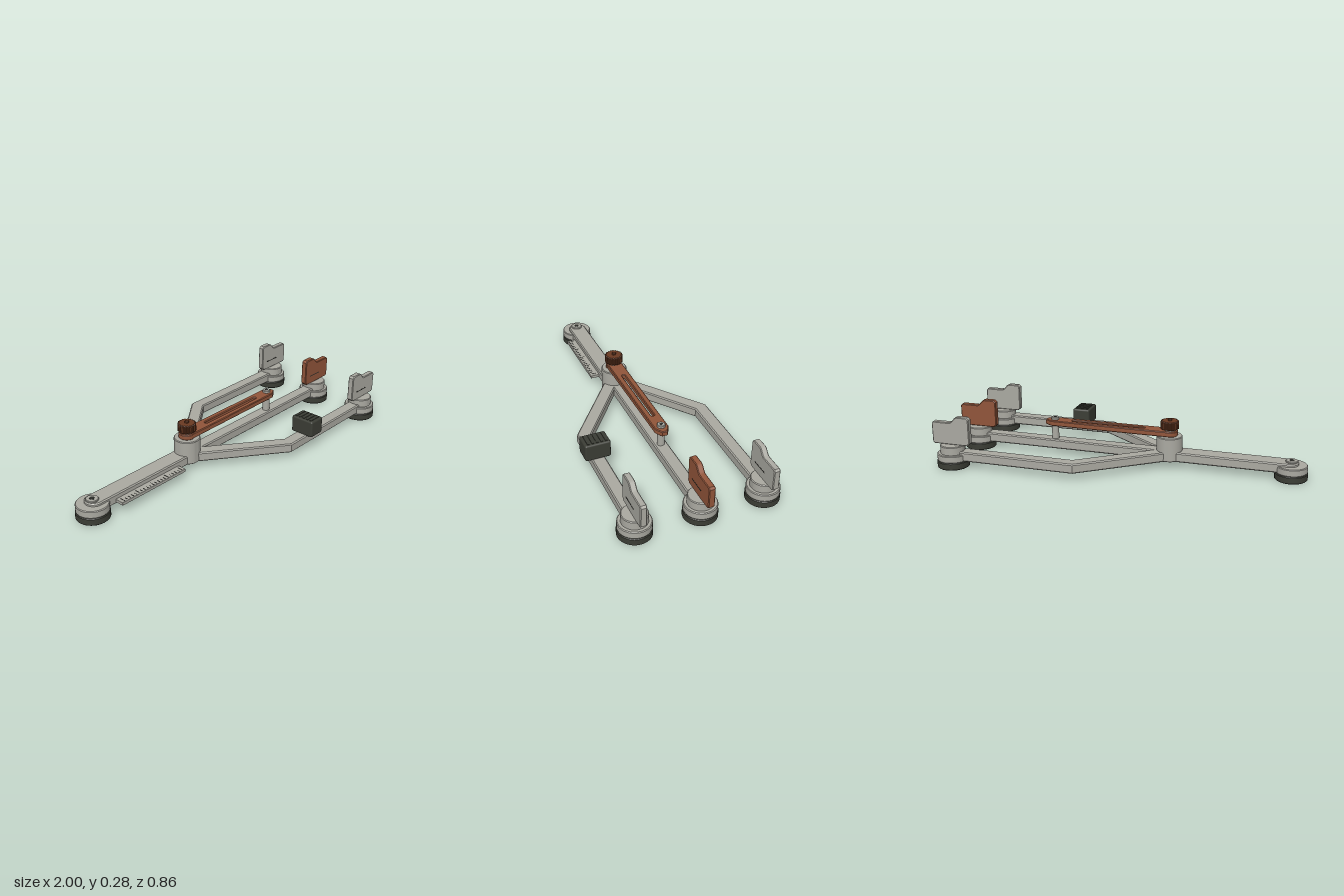
import * as THREE from 'three';
import { toCreasedNormals } from 'three/addons/utils/BufferGeometryUtils.js';
import { RoundedBoxGeometry } from 'three/addons/geometries/RoundedBoxGeometry.js';

const material = (name, color) => new THREE.MeshStandardMaterial({ name, color });

export function createModel() {
  const model = new THREE.Group();
  const grey = material('warm grey metal', 0xaaa9a1);
  const rubber = material('dark rubber', 0x3b3d35);
  const copper = material('copper paint', 0x91553a);
  const brown = material('dark copper', 0x6a3a22);
  const black = material('engraved marks', 0x2b2c28);

  function add(name, geometry, mat, x = 0, y = 0, z = 0, parent = model) {
    const mesh = new THREE.Mesh(geometry, mat);
    mesh.name = name;
    mesh.position.set(x, y, z);
    parent.add(mesh);
    return mesh;
  }

  const toShape = (pts) => new THREE.Shape(pts.map(([x, y]) => new THREE.Vector2(x, y)));

  // Extrusion of fixed total depth with a small bevel kept inside the outline
  function bevelled(shape, depth, bevel) {
    const g = new THREE.ExtrudeGeometry(shape, {
      depth: depth - 2 * bevel, bevelEnabled: true, bevelThickness: bevel,
      bevelSize: bevel, bevelOffset: -bevel, bevelSegments: 1, curveSegments: 16,
    });
    g.translate(0, 0, bevel);
    return toCreasedNormals(g, 0.5);
  }
  // Plan outline (x, -z) raised along y
  const slab = (shape, depth, bevel) => bevelled(shape, depth, bevel).rotateX(-Math.PI / 2);

  // Turned part with a small chamfer, standing on its base
  function turned(r, h, c = 0.004, sides = 48) {
    const pts = [[0, 0], [r - c, 0], [r, c], [r, h - c], [r - c, h], [0, h]];
    const g = new THREE.LatheGeometry(pts.map(([x, y]) => new THREE.Vector2(x, y)), sides);
    return toCreasedNormals(g, 0.5);
  }

  // Rails
  const railY = 0.042, railH = 0.053;
  function straight(x0, x1, w) {
    return toShape([[x0, -w], [x1, -w], [x1, w], [x0, w]]);
  }
  const base = new THREE.Shape();
  base.moveTo(-0.9, -0.05);
  base.lineTo(-0.2, -0.05);
  base.lineTo(-0.2, 0.05);
  base.lineTo(-0.9, 0.05);
  base.absarc(-0.9, 0, 0.05, Math.PI / 2, Math.PI * 1.5, false);
  add('baseRail', slab(base, railH, 0.006), grey, 0, railY, 0);
  add('middleRail', slab(straight(-0.25, 0.9, 0.036), railH, 0.006), grey, 0, railY, 0);

  // Bent side rails, mitred at the bend
  const bend = [0.19, 0.34], hub = [-0.25, 0.012], half = 0.036;
  const angle = Math.atan2(bend[1] - hub[1], bend[0] - hub[0]);
  const nx = -Math.sin(angle) * half, ny = Math.cos(angle) * half;
  const miter = Math.tan(angle / 2) * half;
  for (const side of [1, -1]) {
    const outline = [
      [hub[0] - nx, hub[1] - ny], [bend[0] + miter, bend[1] - half], [0.9, bend[1] - half],
      [0.9, bend[1] + half], [bend[0] - miter, bend[1] + half], [hub[0] + nx, hub[1] + ny],
    ].map(([x, y]) => [x, -side * y]);
    add(side > 0 ? 'frontSideRail' : 'backSideRail',
      slab(toShape(outline), railH, 0.006), grey, 0, railY, 0);
  }

  // Feet
  function foot(x, z) {
    const g = new THREE.Group();
    g.name = 'foot';
    g.position.set(x, 0, z);
    model.add(g);
    add('rubberPad', turned(0.0875, 0.04), rubber, 0, 0, 0, g);
    add('footDisc', turned(0.085, 0.04), grey, 0, 0.04, 0, g);
    return g;
  }

  // Small screw with a hexagonal socket
  function screw(x, y, r, h) {
    add('screwHead', turned(r, h, 0.003, 24), grey, x, y, 0);
    add('screwSocket', new THREE.CylinderGeometry(r * 0.45, r * 0.45, 0.002, 6), black, x, y + h, 0);
  }
  foot(-0.913, 0);
  screw(-0.913, 0.093, 0.033, 0.011);

  // Upright rests on the three far feet
  const restOutline = [[0.79, 0.125], [0.985, 0.125], [0.995, 0.135], [0.995, 0.24], [0.985, 0.25],
    [0.888, 0.25], [0.877, 0.256], [0.857, 0.279], [0.845, 0.285], [0.787, 0.285], [0.775, 0.273], [0.775, 0.14]];
  for (const z of [-0.34, 0, 0.34]) {
    const g = foot(0.885, z);
    add('footBoss', turned(0.067, 0.05), grey, 0, 0.076, 0, g);
    const rest = new THREE.Group();
    rest.name = 'rest';
    rest.position.z = z;
    model.add(rest);
    add('restPlate', bevelled(toShape(restOutline), 0.034, 0.004), z === 0 ? copper : grey, 0, 0, -0.017, rest);
    add('restMark', new THREE.BoxGeometry(0.095, 0.005, 0.003), black, 0.865, 0.175, 0.0165, rest);
  }

  // Graduated side strip
  add('scaleStrip', new RoundedBoxGeometry(0.44, 0.018, 0.052, 2, 0.003), grey, -0.587, 0.06, 0.074);
  for (let i = 0; i < 21; i++) {
    const len = i % 5 === 0 ? 0.03 : 0.018;
    add('scaleMark', new THREE.BoxGeometry(0.003, 0.002, len), black,
      -0.787 + i * 0.02, 0.0692, 0.094 - len / 2);
  }

  // Pivot hub
  add('hub', turned(0.071, 0.133), grey, -0.25, 0.044, 0);

  // Swinging arm: rounded at the pivot, tapered at the tip, with a long slot
  const arm = new THREE.Shape();
  arm.moveTo(-0.25, -0.041);
  arm.lineTo(0.425, -0.038);
  arm.lineTo(0.465, -0.015);
  arm.lineTo(0.465, 0.015);
  arm.lineTo(0.425, 0.038);
  arm.lineTo(-0.25, 0.041);
  arm.absarc(-0.25, 0, 0.045, Math.PI / 2, Math.PI * 1.5, false);
  const slot = new THREE.Path();
  slot.moveTo(-0.1, -0.009);
  slot.absarc(0.305, 0, 0.009, -Math.PI / 2, Math.PI / 2, false);
  slot.absarc(-0.1, 0, 0.009, Math.PI / 2, Math.PI * 1.5, false);
  arm.holes.push(slot);
  add('swingArm', slab(arm, 0.03, 0.004), copper, 0, 0.176, 0);

  // Clamp knob with gripping ribs
  add('knobWasher', turned(0.03, 0.014, 0.002), grey, -0.25, 0.204, 0);
  const ribs = [];
  const count = 20;
  for (let i = 0; i < count * 4; i++) {
    const a = (i / (count * 4)) * Math.PI * 2;
    const r = i % 4 < 2 ? 0.05 : 0.045;
    ribs.push([Math.cos(a) * r, Math.sin(a) * r]);
  }
  add('clampKnob', slab(toShape(ribs), 0.046, 0.003), brown, -0.25, 0.215, 0);
  add('knobBolt', turned(0.012, 0.012, 0.002, 6), brown, -0.25, 0.26, 0);

  // Support post under the arm tip
  add('supportPost', turned(0.02, 0.115, 0.002, 24), grey, 0.415, 0.092, 0);
  screw(0.415, 0.204, 0.022, 0.017);

  // Sliding block with ribbed top
  add('slidingBlock', new RoundedBoxGeometry(0.1, 0.095, 0.138, 3, 0.01), rubber, 0.36, 0.1375, 0.34);
  for (let i = -2; i <= 2; i++) {
    add('blockRib', new THREE.BoxGeometry(0.075, 0.004, 0.01), rubber, 0.36, 0.186, 0.34 + i * 0.024);
  }
  return model;
}
